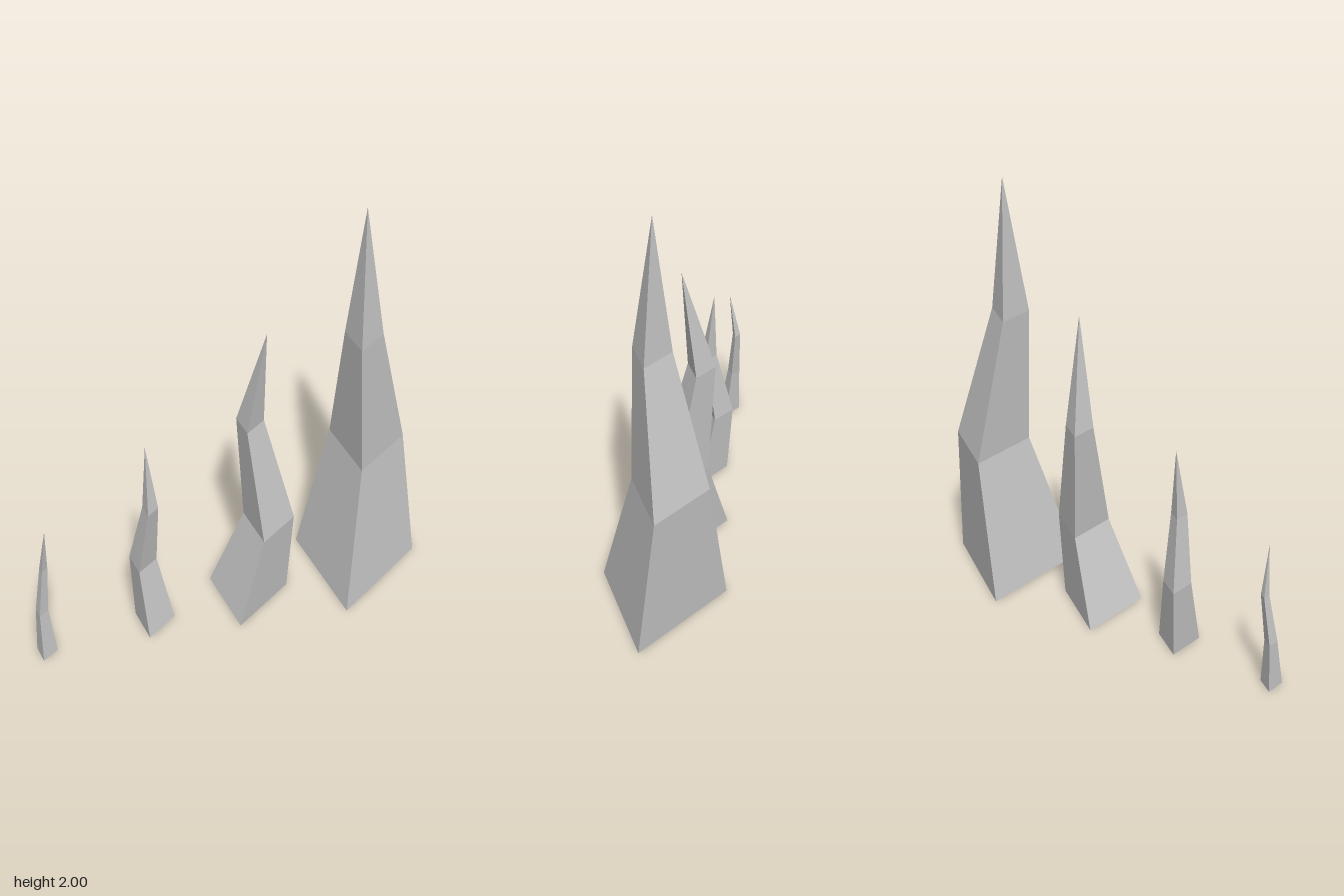
import * as THREE from 'three';

const material = new THREE.MeshStandardMaterial({ color: 0xcccccc, flatShading: true });

// Three-sided spike: triangular rings [x, y, z, radius] from the ground up, closed by a tip.
function makeSpike(name, rings, tip) {
  const corners = rings.map(([x, y, z, r]) =>
    [-2, 0, 2].map((k) => {
      const a = (k * Math.PI) / 3;
      return [x + r * Math.cos(a), y, z - r * Math.sin(a)];
    })
  );
  const positions = [];
  const tri = (...points) => points.forEach((p) => positions.push(...p));

  // underside
  tri(corners[0][0], corners[0][2], corners[0][1]);

  // faceted sides, then the point
  for (let i = 0; i < 3; i++) {
    const j = (i + 1) % 3;
    for (let k = 0; k < corners.length - 1; k++) {
      const low = corners[k], high = corners[k + 1];
      tri(low[i], low[j], high[j]);
      tri(low[i], high[j], high[i]);
    }
    const top = corners[corners.length - 1];
    tri(top[i], top[j], tip);
  }

  const geometry = new THREE.BufferGeometry();
  geometry.setAttribute('position', new THREE.Float32BufferAttribute(positions, 3));
  geometry.computeVertexNormals();
  const mesh = new THREE.Mesh(geometry, material);
  mesh.name = name;
  return mesh;
}

export function createModel() {
  const group = new THREE.Group();
  group.name = 'spikes';

  group.add(
    makeSpike('tallSpike',
      [[0.627, 0, 0, 0.33], [0.7, 0.667, -0.062, 0.2], [0.627, 1.333, 0.017, 0.1]],
      [0.627, 2, 0]),
    makeSpike('mediumSpike',
      [[0.067, 0, 0, 0.212], [0.176, 0.405, -0.002, 0.137], [0.117, 0.945, -0.083, 0.073]],
      [0.168, 1.465, -0.012]),
    makeSpike('shortSpike',
      [[-0.404, 0, 0, 0.107], [-0.433, 0.335, -0.052, 0.073], [-0.404, 0.667, -0.006, 0.042]],
      [-0.407, 1, -0.034]),
    makeSpike('tinySpike',
      [[-0.933, 0, 0, 0.055], [-0.937, 0.235, -0.02, 0.033], [-0.91, 0.47, -0.038, 0.021]],
      [-0.902, 0.705, -0.005])
  );
  return group;
}
